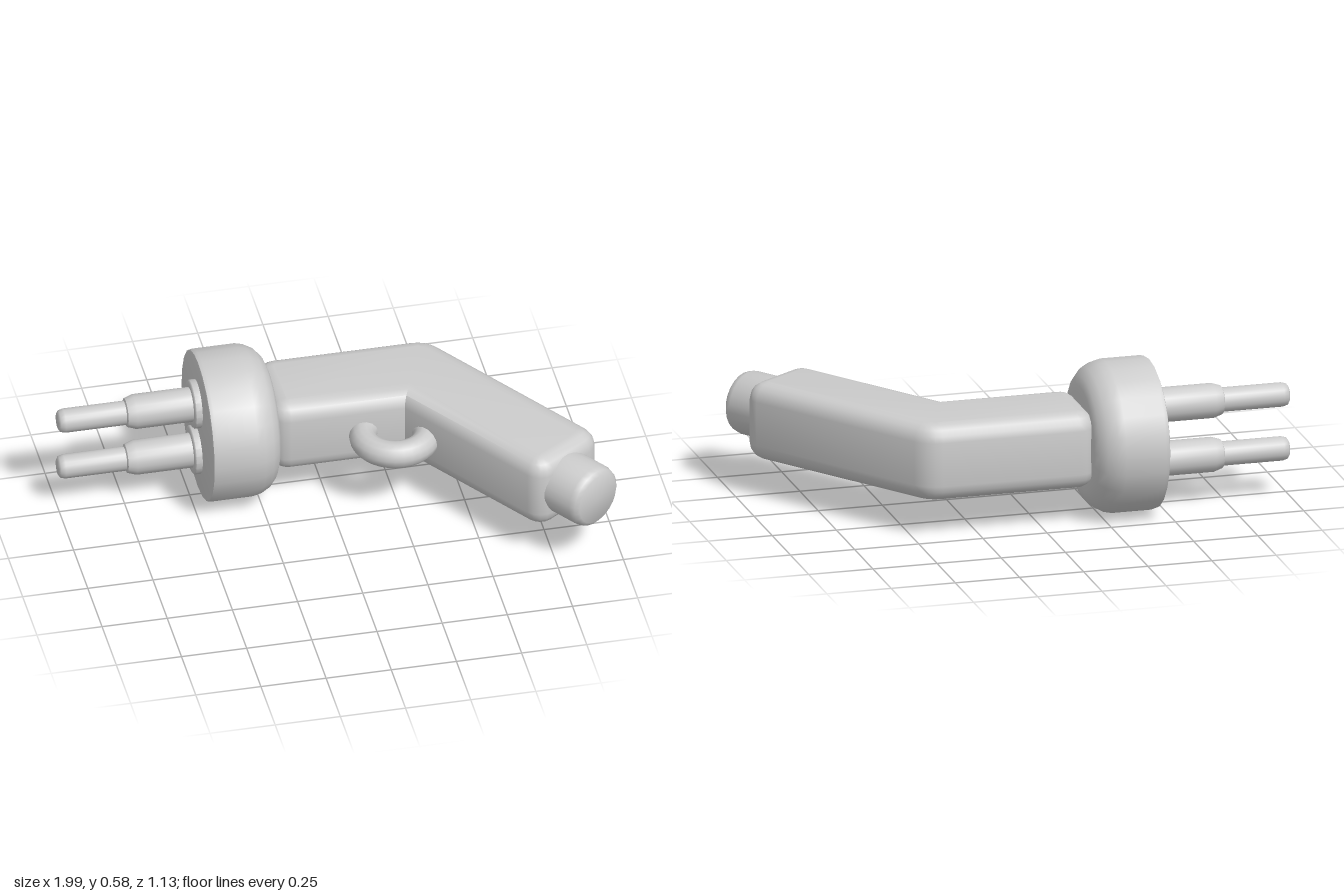
import * as THREE from 'three';
import { toCreasedNormals } from 'three/addons/utils/BufferGeometryUtils.js';

const material = new THREE.MeshStandardMaterial({ color: 0xcccccc });
const MID_Y = 0.294;
const BORE_Z = -0.284;

// Turned part: profile is [radius, distance along the axis]
function turned(name, profile, sides) {
  const points = profile.map(([r, h]) => new THREE.Vector2(r, h));
  const geometry = toCreasedNormals(new THREE.LatheGeometry(points, sides), 0.8);
  const mesh = new THREE.Mesh(geometry, material);
  mesh.name = name;
  return mesh;
}

// Closed outline whose corners are rounded, each by its own radius
function roundedOutline(corners) {
  const shape = new THREE.Shape();
  const n = corners.length;
  const at = i => new THREE.Vector2(corners[(i + n) % n][0], corners[(i + n) % n][1]);
  for (let i = 0; i < n; i++) {
    const p = at(i);
    const toPrev = at(i - 1).sub(p).normalize();
    const toNext = at(i + 1).sub(p).normalize();
    const r = corners[i][2];
    if (r === 0) {
      shape.lineTo(p.x, p.y);
      continue;
    }
    const half = Math.acos(toPrev.dot(toNext)) / 2;
    const centre = toPrev.clone().add(toNext).normalize().multiplyScalar(r / Math.sin(half)).add(p);
    const start = toPrev.multiplyScalar(r / Math.tan(half)).add(p).sub(centre);
    const end = toNext.multiplyScalar(r / Math.tan(half)).add(p).sub(centre);
    const a0 = start.angle();
    let sweep = end.angle() - a0;
    if (sweep > Math.PI) sweep -= 2 * Math.PI;
    if (sweep < -Math.PI) sweep += 2 * Math.PI;
    for (let k = 0; k <= 4; k++) {
      const a = a0 + sweep * k / 4;
      const x = centre.x + r * Math.cos(a), y = centre.y + r * Math.sin(a);
      if (i === 0 && k === 0) shape.moveTo(x, y);
      else shape.lineTo(x, y);
    }
  }
  shape.closePath();
  return shape;
}

export function createModel() {
  const model = new THREE.Group();
  model.name = 'bentHandTool';

  // Angled body, outline as [x, z, corner radius]
  const outline = roundedOutline([
    [-0.21, -0.47, 0.07], [0.459, -0.47, 0.12], [0.97, 0.269, 0.07],
    [0.692, 0.462, 0.07], [0.295, -0.11, 0], [-0.21, -0.11, 0.07],
  ]);
  const height = 0.3, bevel = 0.065;
  const bodyGeometry = new THREE.ExtrudeGeometry(outline, {
    depth: height - 2 * bevel, bevelSize: bevel, bevelThickness: bevel,
    bevelOffset: -bevel, bevelSegments: 4, curveSegments: 1,
  });
  bodyGeometry.translate(0, 0, -(height / 2 - bevel));
  bodyGeometry.rotateX(Math.PI / 2);
  const body = new THREE.Mesh(toCreasedNormals(bodyGeometry, 0.7), material);
  body.name = 'body';
  body.position.y = MID_Y;
  model.add(body);

  // Round head, flat behind the prongs and domed toward the body
  const head = turned('head', [
    [0, -0.462], [0.28, -0.462], [0.287, -0.459], [0.291, -0.445], [0.291, -0.29],
    [0.284, -0.26], [0.265, -0.225], [0.237, -0.2], [0.205, -0.188], [0.17, -0.185], [0, -0.185],
  ], 24);
  head.rotation.z = -Math.PI / 2;
  head.position.set(0, MID_Y, BORE_Z);
  model.add(head);

  // Pair of stepped prongs with collars
  for (const [name, y] of [['upperProng', 0.397], ['lowerProng', 0.185]]) {
    const prong = turned(name, [
      [0, -1], [0.03, -1], [0.041, -0.993], [0.046, -0.975], [0.046, -0.742],
      [0.055, -0.738], [0.066, -0.705], [0.066, -0.49],
      [0.088, -0.49], [0.093, -0.485], [0.093, -0.45],
    ], 20);
    prong.rotation.z = -Math.PI / 2;
    prong.position.set(0, y, BORE_Z);
    model.add(prong);
  }

  // Finger loop in the crook of the body
  const loop = new THREE.Mesh(new THREE.TorusGeometry(0.12, 0.052, 14, 32), material);
  loop.name = 'fingerLoop';
  loop.rotation.x = Math.PI / 2;
  loop.position.set(0.248, 0.288, -0.072);
  model.add(loop);

  // Plug at the end of the grip, along the grip's axis
  const axis = new THREE.Vector3(0.57, 0, 0.82).normalize();
  const plug = turned('endPlug', [
    [0.122, -0.25], [0.122, -0.035], [0.115, -0.012], [0.1, 0], [0, 0],
  ], 24);
  plug.quaternion.setFromUnitVectors(new THREE.Vector3(0, 1, 0), axis);
  plug.position.set(0.903, 0.297, 0.496);
  model.add(plug);

  return model;
}
